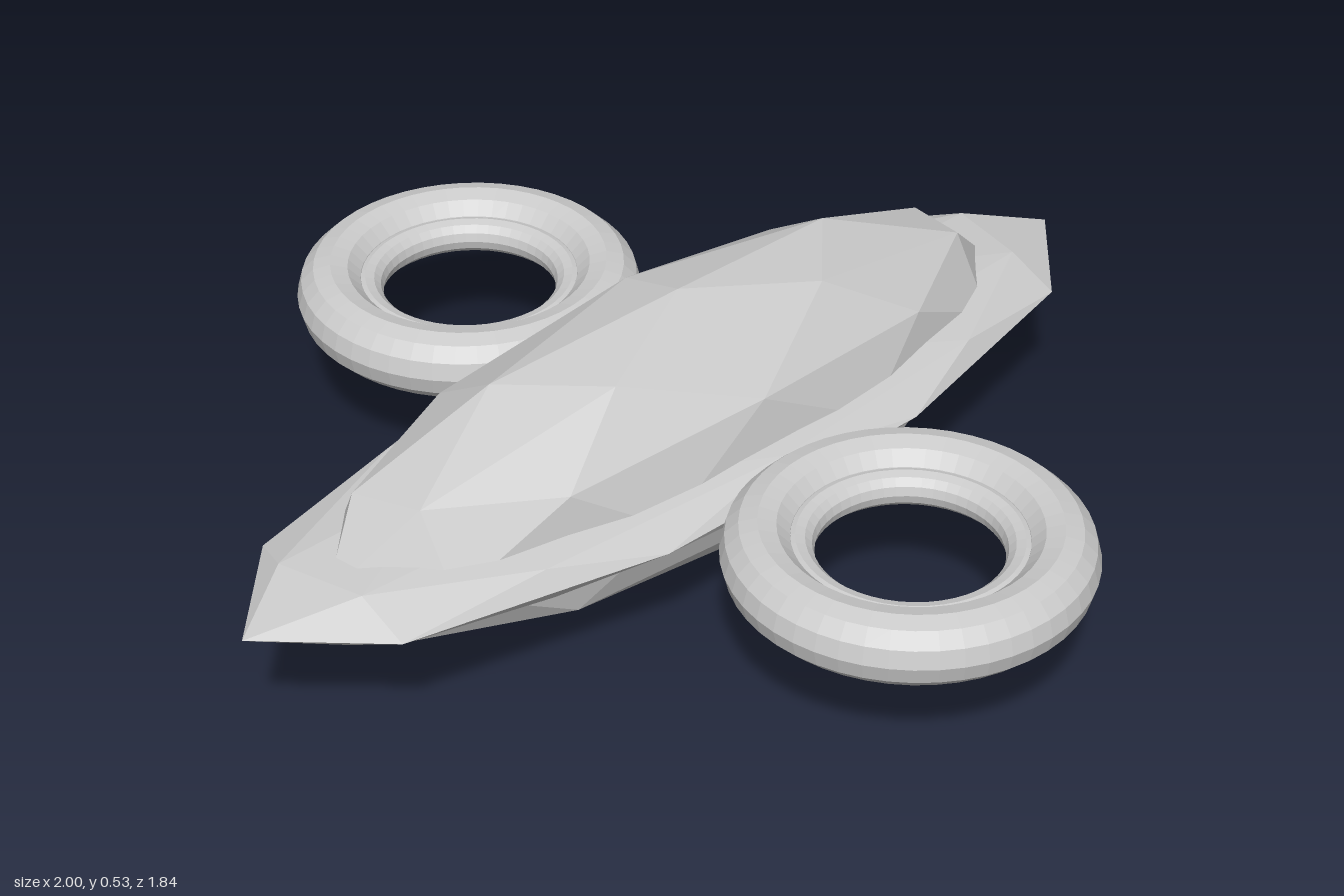
import * as THREE from 'three';

const CENTRE_Y = 0.27;

export function createModel() {
  const model = new THREE.Group();
  model.name = 'ringedSpacecraft';
  const material = new THREE.MeshStandardMaterial({ color: 0xcccccc, flatShading: true });

  const add = (name, geometry, z = 0) => {
    const mesh = new THREE.Mesh(geometry, material);
    mesh.name = name;
    mesh.position.set(0, CENTRE_Y, z);
    model.add(mesh);
  };

  // Faceted ball with a corner at each pole, stretched to an ellipsoid
  const facetedEllipsoid = (rx, ry, rz) => {
    const geometry = new THREE.IcosahedronGeometry(1, 1);
    geometry.rotateX(-Math.atan2((1 + Math.sqrt(5)) / 2, 1));
    geometry.rotateY(Math.PI);
    return geometry.scale(rx, ry, rz);
  };

  // Flat-lying ring
  const ring = (radius, tube) =>
    new THREE.TorusGeometry(radius, tube, 12, 48).rotateX(Math.PI / 2);

  // Long hull and the thin blade-like disc around its waist
  add('hull', facetedEllipsoid(0.82, 0.267, 0.265));
  add('waistDisc', facetedEllipsoid(1, 0.082, 0.325));

  // A ring on each side, with a slimmer rim lining its hole
  for (const [side, sign] of [['front', 1], ['back', -1]]) {
    add(side + 'Ring', ring(0.266, 0.066), sign * 0.59);
    add(side + 'InnerRim', ring(0.2, 0.034), sign * 0.59);
  }
  return model;
}
